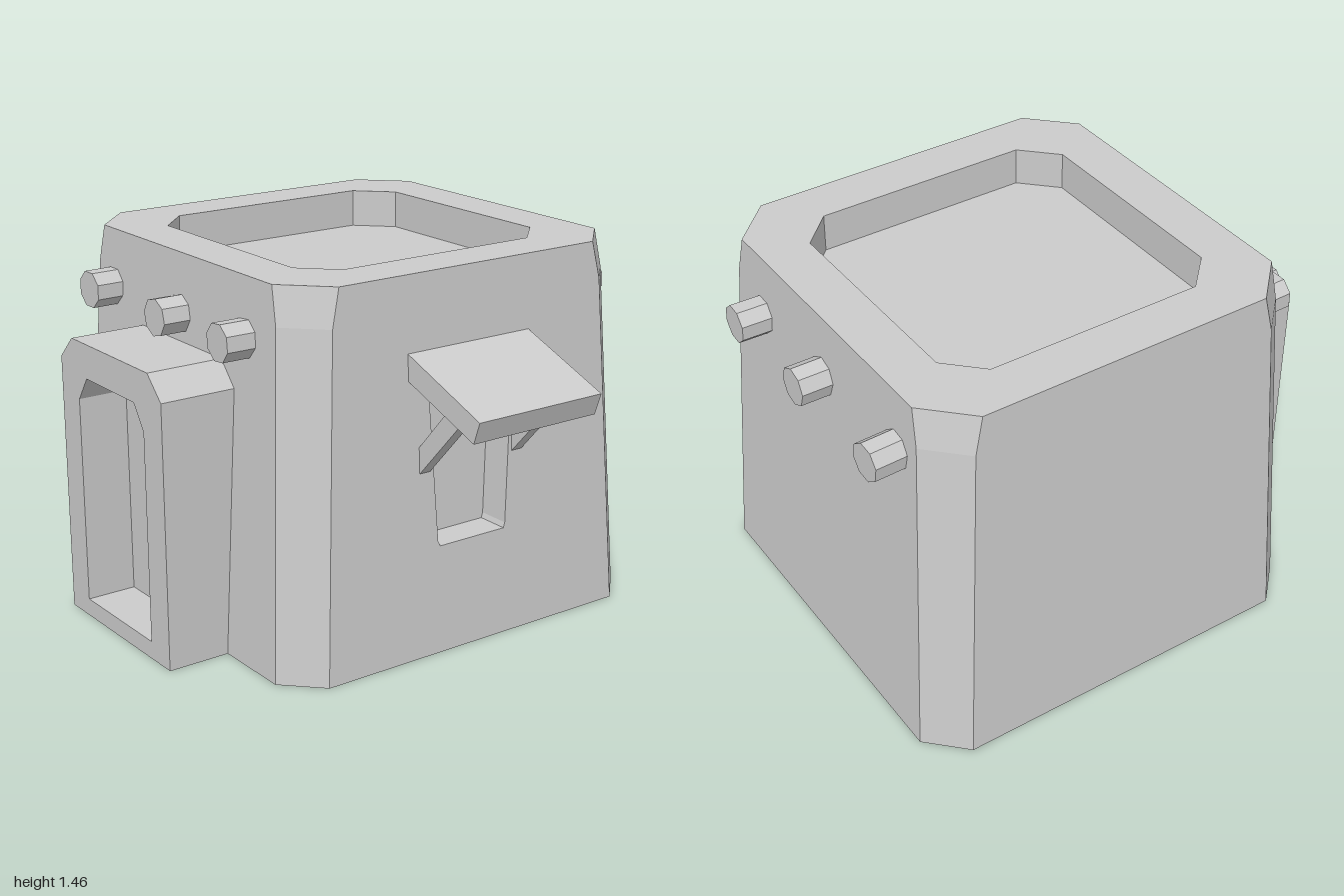
import * as THREE from 'three';

const CX = -0.17, CZ = -0.095;
const mat = new THREE.MeshStandardMaterial({ color: 0xcccccc, flatShading: true, side: THREE.DoubleSide });

// Chamfered square ring, counter-clockwise seen from above; edge 7 is the left (+x) wall
function ring(h, c, y) {
  const k = h - c;
  return [[h, -k], [k, -h], [-k, -h], [-h, -k], [-h, k], [-k, h], [k, h], [h, k]]
    .map(([x, z]) => new THREE.Vector3(CX + x, y, CZ + z));
}

// Flat-faced skin through rings of points, with optional end caps and skipped quads
function loft(rings, { start = false, end = true, skip = () => false } = {}) {
  const pos = [], n = rings[0].length;
  const tri = (...v) => v.forEach(p => pos.push(p.x, p.y, p.z));
  for (let r = 0; r < rings.length - 1; r++) {
    for (let i = 0; i < n; i++) {
      if (skip(r, i)) continue;
      const j = (i + 1) % n, [a, b] = [rings[r], rings[r + 1]];
      tri(a[i], a[j], b[j]);
      tri(a[i], b[j], b[i]);
    }
  }
  const first = rings[0], last = rings[rings.length - 1];
  for (let i = 1; i < n - 1; i++) {
    if (start) tri(first[0], first[i + 1], first[i]);
    if (end) tri(last[0], last[i], last[i + 1]);
  }
  const g = new THREE.BufferGeometry();
  g.setAttribute('position', new THREE.Float32BufferAttribute(pos, 3));
  g.computeVertexNormals();
  return g;
}

const shapeOf = pts => new THREE.Shape(pts.map(p => new THREE.Vector2(...p)));

// Prism with an xy outline between two z values
function prism(pts, z0, z1, hole) {
  const s = shapeOf(pts);
  if (hole) s.holes.push(shapeOf(hole));
  return new THREE.ExtrudeGeometry(s, { depth: z1 - z0, bevelEnabled: false }).translate(0, 0, z0);
}

// Upright outline with its two top corners cut
const arch = (x0, x1, y0, y1, cx, cy) =>
  [[x0, y0], [x1, y0], [x1, y1 - cy], [x1 - cx, y1], [x0 + cx, y1], [x0, y1 - cy]];

export function createModel() {
  const model = new THREE.Group();
  const add = (name, geo, parent = model) => {
    const m = new THREE.Mesh(geo, mat);
    m.name = name;
    parent.add(m);
    return m;
  };
  const group = name => {
    const g = new THREE.Group();
    g.name = name;
    model.add(g);
    return g;
  };

  // Tapering body with sunken roof; the window wall is left open
  const H = 1.455, MID = 1.31;
  const outer = [ring(0.83, 0.14, 0), ring(0.762, 0.14, MID), ring(0.754, 0.165, H)];
  add('body', loft([...outer, ring(0.56, 0.13, H), ring(0.56, 0.13, H - 0.15)],
    { start: true, skip: (r, i) => r < 2 && i === 7 }));

  // Window wall drawn in (-z, y), then leaned onto the body's slope
  const wallX = y => CX + 0.83 - y * (y < MID ? 0.068 / MID : 0.076 / H);
  const windowPts = [[-0.075, 0.42], [0.23, 0.42], [0.237, 0.44], [0.27, 0.93],
    [0.273, 1.0], [-0.113, 1.0], [-0.11, 0.93], [-0.085, 0.44]];
  const wall = shapeOf([
    ...outer.map(r => [-r[0].z, r[0].y]),
    ...outer.map(r => [-r[7].z, r[7].y]).reverse(),
  ]);
  wall.holes.push(shapeOf(windowPts));
  const wallGeo = new THREE.ShapeGeometry(wall);
  const p = wallGeo.attributes.position;
  for (let i = 0; i < p.count; i++) {
    const u = p.getX(i), y = p.getY(i);
    p.setXYZ(i, wallX(y), y, -u);
  }
  wallGeo.computeVertexNormals();
  add('windowWall', wallGeo);

  // Window niche
  const niche = d => windowPts.map(([u, y]) => new THREE.Vector3(wallX(y) - d, y, -u));
  add('windowNiche', loft([niche(0), niche(0.13)]));

  // Porch with recessed doorway
  const porch = group('porch');
  const porchPts = arch(-0.54, 0.2, 0, 1.12, 0.09, 0.09);
  add('doorFrame', prism(porchPts, 0.785, 0.985, arch(-0.41, 0.07, 0.07, 0.985, 0.065, 0.095)), porch);
  add('doorBack', prism(porchPts, 0.62, 0.785), porch);

  // Awning on two struts over the window
  const awning = group('awning');
  add('awningSlab', prism([[0.56, 1.085], [0.97, 0.935], [1.0, 1.02], [0.56, 1.185]], -0.36, 0.205), awning);
  for (const z of [0.14, -0.298]) {
    add('awningStrut', prism([[0.58, 0.67], [0.88, 0.995], [0.80, 1.02], [0.58, 0.775]],
      z - 0.024, z + 0.024), awning);
  }

  // Stubby beam ends: x, y, twist, yaw, end z
  const beams = group('beams');
  const ends = [
    [-0.678, 1.23, 0, 0.02, 0.782], [-0.18, 1.225, 0.25, 0, 0.782], [0.26, 1.23, 0.1, -0.02, 0.785],
    [-0.667, 1.225, 0.15, 0.03, -0.985], [-0.172, 1.215, 0.3, -0.01, -0.98], [0.268, 1.215, 0.05, -0.03, -0.978],
  ];
  for (const [x, y, twist, yaw, z] of ends) {
    const g = new THREE.CylinderGeometry(0.074, 0.074, 0.26, 8)
      .rotateY(Math.PI / 8 + twist).rotateX(Math.PI / 2).rotateY(yaw);
    add('beamEnd', g, beams).position.set(x, y, z - Math.sign(z) * 0.13);
  }
  return model;
}
